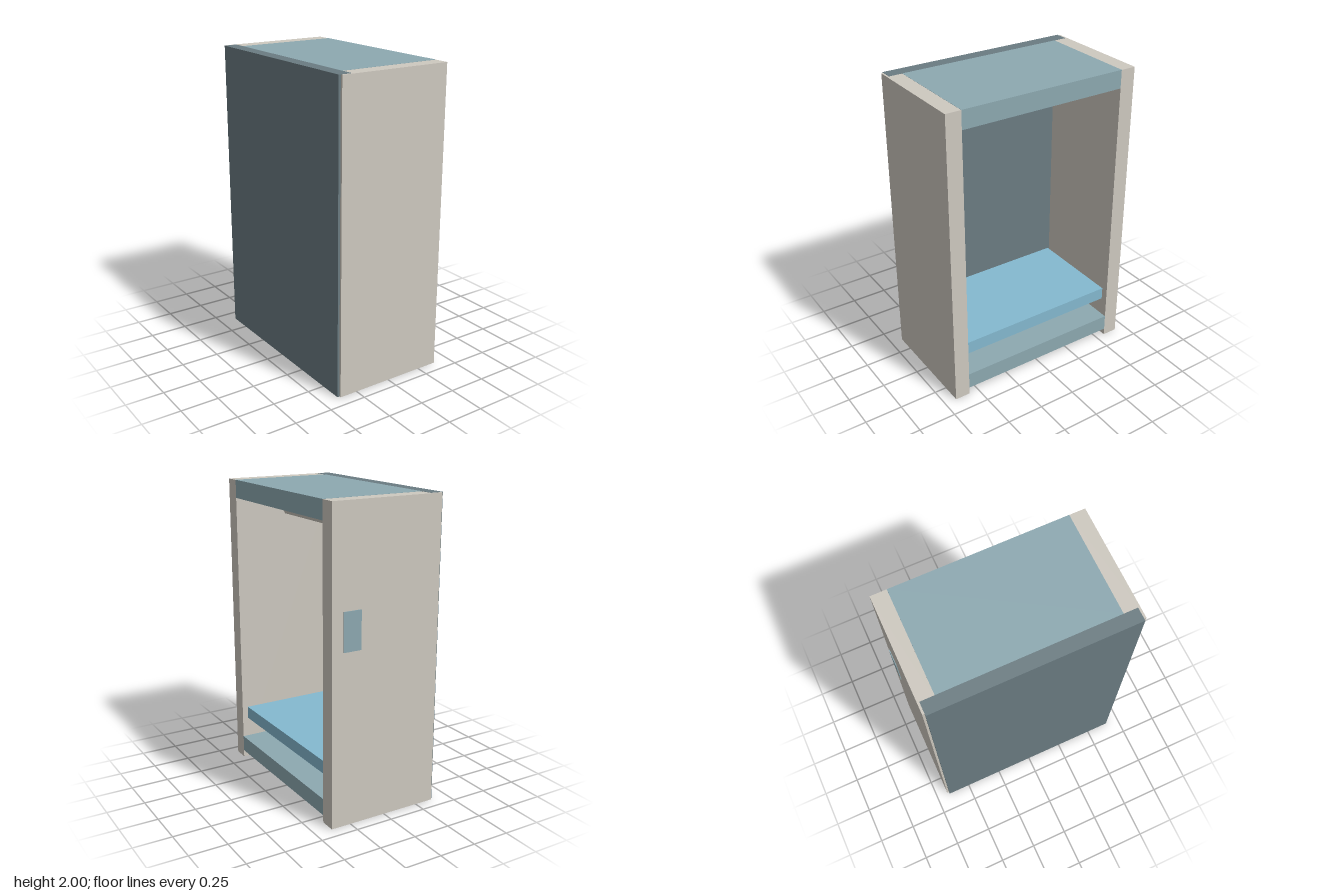
import * as THREE from 'three';

export function createModel() {
  const group = new THREE.Group();
  group.name = 'wardrobe';

  const material = (name, color) => {
    const m = new THREE.MeshStandardMaterial({ color, flatShading: true });
    m.name = name;
    return m;
  };
  const beige = material('beige', 0xcec9c0);
  const slateBlue = material('slate blue', 0x8da9b1);
  const darkSlate = material('dark slate', 0x6b7c82);
  const lightBlue = material('light blue', 0x84b9d0);

  // Box given by its minimum and maximum corners
  const box = (name, mat, [x0, y0, z0], [x1, y1, z1]) => {
    const mesh = new THREE.Mesh(new THREE.BoxGeometry(x1 - x0, y1 - y0, z1 - z0), mat);
    mesh.position.set((x0 + x1) / 2, (y0 + y1) / 2, (z0 + z1) / 2);
    mesh.name = name;
    group.add(mesh);
  };

  const open = 0.385; // x of the open side
  const inner = -0.3; // x of the back board's inner face
  const half = 0.567; // half the inside width

  // Two thick side panels
  box('frontSidePanel', beige, [-0.373, 0.001, half], [open, 1.999, 0.67]);
  box('rearSidePanel', beige, [-0.373, 0.001, -0.67], [open, 1.999, -half]);

  // Back board, let into both side panels
  box('backBoard', darkSlate, [-0.387, 0, -0.656], [inner, 2, 0.656]);

  // Top and raised bottom
  box('topBoard', slateBlue, [inner, 1.88, -half], [open, 2, half]);
  box('bottomBoard', slateBlue, [inner, 0.05, -half], [open, 0.16, half]);

  // Shelf, set back slightly from the opening
  box('shelf', lightBlue, [inner, 0.3, -0.556], [0.35, 0.385, 0.556]);

  // Six-sided hanging rail
  const railGeometry = new THREE.CylinderGeometry(0.035, 0.035, half * 2, 6);
  railGeometry.rotateY(Math.PI / 2);
  railGeometry.rotateX(Math.PI / 2);
  const rail = new THREE.Mesh(railGeometry, beige);
  rail.position.set(0, 1.78, 0);
  rail.name = 'hangingRail';
  group.add(rail);

  // Thin plate on the outside of the rear side panel
  box('sidePlate', slateBlue, [0.187, 1.12, -0.675], [0.308, 1.365, -0.669]);

  return group;
}
